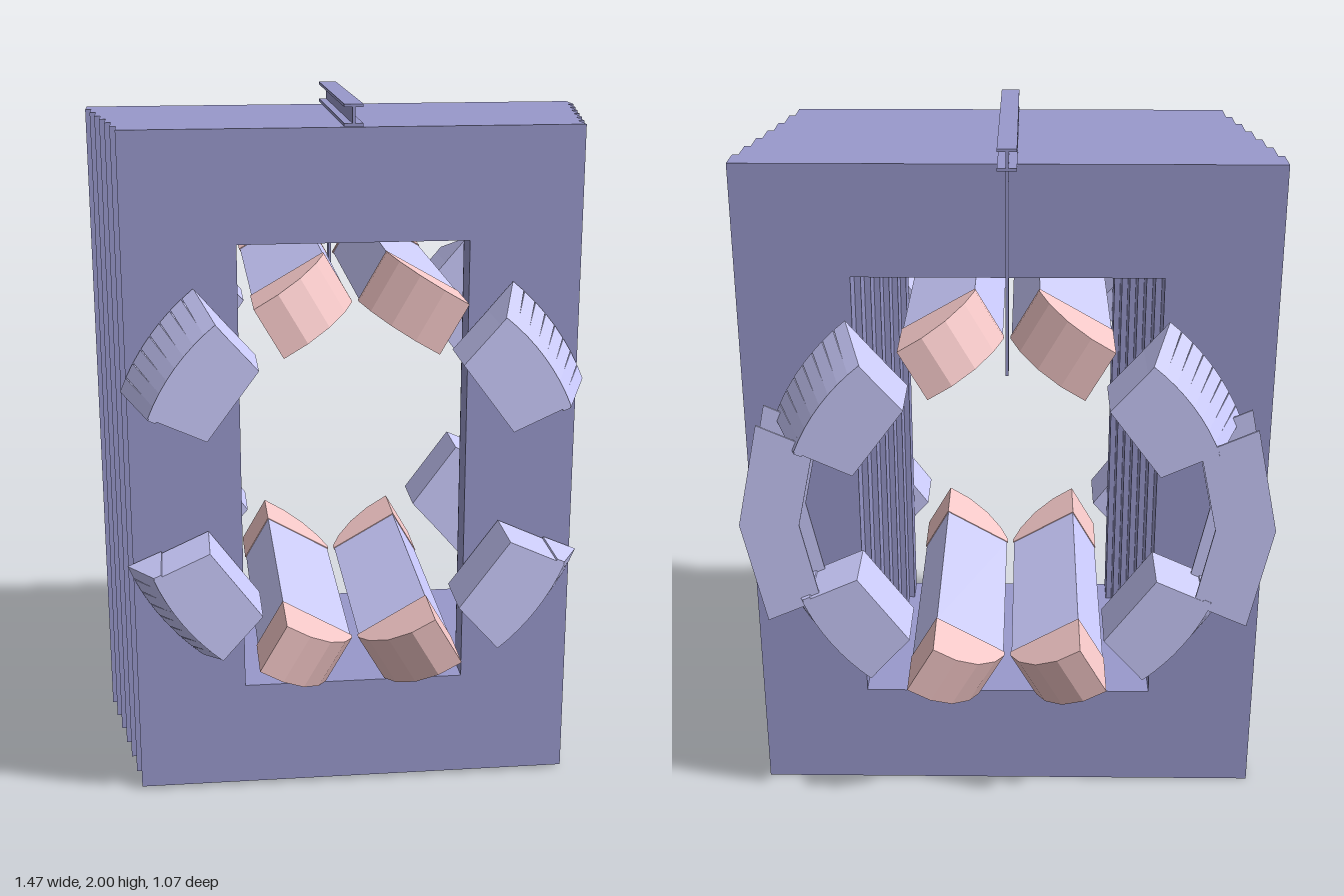
import * as THREE from 'three';

const RAD = Math.PI / 180;

// Closed straight-sided shape from [x, y] pairs
function poly(points) {
  return new THREE.Shape(points.map(([x, y]) => new THREE.Vector2(x, y)));
}

function extrude(shape, depth) {
  return new THREE.ExtrudeGeometry(shape, { depth, bevelEnabled: false, curveSegments: 1 });
}

// Reflected copy of a non-indexed geometry with the corner order kept outward
function reflect(source, sx, sy, sz) {
  const g = source.clone();
  g.scale(sx, sy, sz);
  if (sx * sy * sz < 0) {
    const p = g.attributes.position;
    const a = new THREE.Vector3(), b = new THREE.Vector3();
    for (let i = 0; i < p.count; i += 3) {
      a.fromBufferAttribute(p, i);
      b.fromBufferAttribute(p, i + 2);
      p.setXYZ(i, b.x, b.y, b.z);
      p.setXYZ(i + 2, a.x, a.y, a.z);
    }
  }
  g.computeVertexNormals();
  return g;
}

// Points along an arc, angles in degrees
function arc(r, from, to, steps) {
  return Array.from({ length: steps + 1 }, (_, i) => {
    const a = (from + (to - from) * i / steps) * RAD;
    return [r * Math.cos(a), r * Math.sin(a)];
  });
}

export function createModel() {
  const root = new THREE.Group();
  root.name = 'magnet';
  // Everything is built around the bore axis, then leaned back slightly
  const magnet = new THREE.Group();
  magnet.name = 'leaningAssembly';
  magnet.position.y = 0.97;
  magnet.rotation.x = -0.0145;
  root.add(magnet);

  const mat = (color) => new THREE.MeshStandardMaterial({ color, flatShading: true });
  const yokeMat = mat(0x9999cc), coilMat = mat(0xccccff), pinkMat = mat(0xf5c8c8);

  function add(name, geometry, material, parent = magnet) {
    const mesh = new THREE.Mesh(geometry, material);
    mesh.name = name;
    parent.add(mesh);
    return mesh;
  }

  // Yoke: seven window frames, each narrower towards the front
  const yoke = new THREE.Group();
  yoke.name = 'yoke';
  magnet.add(yoke);
  const slabs = 7, zBack = -0.32, slabDepth = 0.0943;
  for (let i = 0; i < slabs; i++) {
    const w = 0.735 - i * 0.0173, h = 0.963, inner = w - 0.312;
    const frame = poly([[-w, -h], [w, -h], [w, h], [-w, h]]);
    frame.holes.push(poly([[-inner, -0.65], [-inner, 0.653], [inner, 0.653], [inner, -0.65]]));
    add('yokeSlab', extrude(frame, slabDepth), yokeMat, yoke)
      .position.z = zBack + i * slabDepth;
  }

  // Side coil end: ring sector with a flat inner face
  const z0 = 0.35, depth = 0.18;
  const block = extrude(poly([...arc(0.445, 52, 21, 1), ...arc(0.615, 22, 51, 8)]), depth);
  block.translate(0, 0, z0);

  // Row of tapered fins fanned around the sector
  const fins = [];
  const count = 8, finWidth = 0.041;
  for (let i = 0; i < count; i++) {
    const fin = extrude(poly([[0.59, 0], [0.695, 0], [0.612, depth], [0.59, depth]]), finWidth);
    fin.translate(0, 0, -finWidth / 2);
    fin.rotateX(Math.PI / 2);
    fin.rotateZ((21.5 + (i + 0.5) * 29.5 / count) * RAD);
    fin.translate(0, 0, z0);
    fins.push(fin);
  }

  // Upper and lower coil ends: faceted quarter arch
  const arch = extrude(poly([
    [-0.115, 0], [0.115, 0], [0.115, 0.18], [0.04, 0.175],
    [-0.03, 0.14], [-0.085, 0.08], [-0.115, 0.02],
  ]), 0.155);
  arch.translate(0, 0, -0.0775);
  arch.rotateX(Math.PI / 2);
  arch.rotateZ(-30 * RAD);
  arch.translate(0.147, 0.507, z0);

  // Coil ends repeated in all four corners, front and back
  for (const sz of [1, -1]) {
    const ends = new THREE.Group();
    ends.name = sz > 0 ? 'frontCoilEnds' : 'backCoilEnds';
    ends.position.z = 0.003;
    magnet.add(ends);
    for (const sx of [1, -1]) {
      for (const sy of [1, -1]) {
        add('sideCoilBlock', reflect(block, sx, sy, sz), coilMat, ends);
        for (const fin of fins) add('coilFin', reflect(fin, sx, sy, sz), coilMat, ends);
        add('coilArch', reflect(arch, sx, sy, sz), pinkMat, ends);
      }
    }
  }

  // Straight coil bars running through the window
  for (const sx of [1, -1]) {
    for (const sy of [1, -1]) {
      const bar = add('coilBar', new THREE.BoxGeometry(0.225, 0.15, 0.7), coilMat);
      bar.position.set(sx * 0.147, sy * 0.507, 0.003);
      bar.rotation.z = -sx * sy * 30 * RAD;
    }
  }

  // Thin curved link plates behind the yoke, two on each side
  const plate = extrude(poly([...arc(0.735, -24, 24, 2), ...arc(0.57, 24, -24, 2)]), 0.006);
  for (const sx of [1, -1]) {
    for (const z of [-0.378, -0.518]) {
      add('linkPlate', reflect(plate, sx, 1, 1), coilMat).position.z = z + sx * 0.008;
    }
  }

  // I-beam across the top with a flat hanger at the back
  const beam = new THREE.Group();
  beam.name = 'topBeam';
  beam.position.set(0, 0.964, -0.035);
  magnet.add(beam);
  const beamLength = 0.735;
  for (const y of [0.004, 0.055]) {
    add('beamFlange', new THREE.BoxGeometry(0.052, 0.008, beamLength), yokeMat, beam).position.y = y;
  }
  add('beamWeb', new THREE.BoxGeometry(0.008, 0.05, beamLength), yokeMat, beam).position.y = 0.03;
  add('hanger', new THREE.BoxGeometry(0.008, 0.57, 0.045), yokeMat).position.set(0, 0.685, -0.372);

  return root;
}
